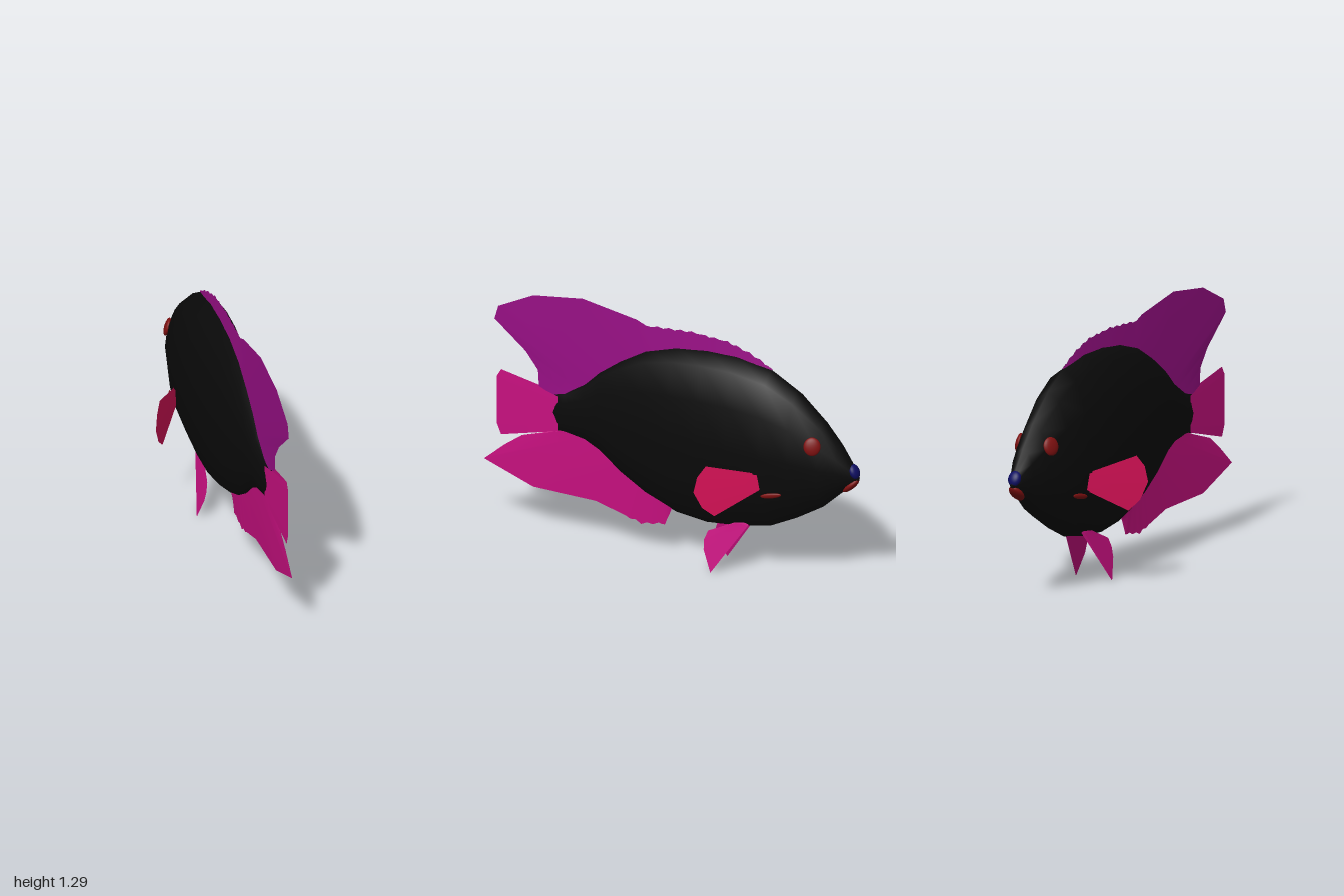
import * as THREE from 'three';

const mat = (name, color, side = THREE.FrontSide) => {
  const m = new THREE.MeshStandardMaterial({ color, side });
  m.name = name;
  return m;
};

// Body stations: z, top y, bottom y, half width
const STATIONS = [
  [-0.985, 0.62, 0.585, 0.012], [-0.95, 0.675, 0.55, 0.036], [-0.89, 0.765, 0.50, 0.065],
  [-0.80, 0.875, 0.415, 0.098], [-0.66, 1.01, 0.33, 0.133], [-0.52, 1.10, 0.262, 0.151],
  [-0.34, 1.14, 0.23, 0.149], [-0.18, 1.145, 0.22, 0.14], [-0.02, 1.13, 0.245, 0.123],
  [0.14, 1.085, 0.315, 0.10], [0.27, 1.01, 0.40, 0.078], [0.38, 0.93, 0.495, 0.058],
  [0.46, 0.85, 0.54, 0.044], [0.57, 0.78, 0.56, 0.025], [0.64, 0.765, 0.56, 0.014],
];

function bodyGeometry() {
  const sides = 12, pos = [], idx = [];
  for (const [z, top, bottom, w] of STATIONS) {
    for (let i = 0; i < sides; i++) {
      const a = (i / sides) * Math.PI * 2;
      pos.push(w * Math.sin(a), (top + bottom) / 2 + ((top - bottom) / 2) * Math.cos(a), z);
    }
  }
  const last = STATIONS.length - 1, nose = pos.length / 3, tail = nose + 1;
  pos.push(0, 0.602, -0.992, 0, 0.66, 0.665);
  for (let i = 0; i < sides; i++) {
    const j = (i + 1) % sides;
    for (let r = 0; r < last; r++) {
      const a = r * sides + i, b = r * sides + j;
      idx.push(a, a + sides, b, b, a + sides, b + sides);
    }
    idx.push(nose, i, j, tail, last * sides + j, last * sides + i);
  }
  const g = new THREE.BufferGeometry();
  g.setAttribute('position', new THREE.Float32BufferAttribute(pos, 3));
  g.setIndex(idx);
  g.computeVertexNormals();
  return g;
}

// Fin lofted from a base line to an edge line, both [z, y]; it thins toward the edge
function finGeometry({ base, edge, thick, xAt = () => 0, ripple = () => 0 }) {
  const steps = 8, rows = 5, n = (base.length - 1) * steps, pos = [], idx = [];
  const sample = (line, i) => {
    const k = Math.min(Math.floor(i / steps), line.length - 2), t = i / steps - k;
    return [0, 1].map((c) => line[k][c] + (line[k + 1][c] - line[k][c]) * t);
  };
  for (const side of [1, -1]) {
    const start = pos.length / 3;
    for (let i = 0; i <= n; i++) {
      const b = sample(base, i), e = sample(edge, i);
      e[1] += ripple(e[0], e[1]);
      for (let r = 0; r <= rows; r++) {
        const v = r / rows;
        const z = b[0] + (e[0] - b[0]) * v, y = b[1] + (e[1] - b[1]) * v;
        pos.push(xAt(z, y) + side * (thick * (1 - v) + 0.001), y, z);
      }
    }
    for (let i = 0; i < n; i++) {
      for (let r = 0; r < rows; r++) {
        const a = start + i * (rows + 1) + r, b = a + rows + 1;
        idx.push(a, b, a + 1, a + 1, b, b + 1);
      }
    }
  }
  // Keep the winding outward on each sheet, whichever way the outline runs
  const half = idx.length / 2;
  const g = new THREE.BufferGeometry();
  g.setAttribute('position', new THREE.Float32BufferAttribute(pos, 3));
  const [a, b, c] = [0, 1, 2].map((k) => {
    const q = idx[Math.floor(half / 12) * 6 + k] * 3;
    return new THREE.Vector3(pos[q], pos[q + 1], pos[q + 2]);
  });
  const flipFirst = b.sub(a).cross(c.sub(a)).x < 0;
  for (let i = 0; i < idx.length; i += 3) {
    if ((i < half) === flipFirst) [idx[i + 1], idx[i + 2]] = [idx[i + 2], idx[i + 1]];
  }
  g.setIndex(idx);
  g.computeVertexNormals();
  return g;
}

export function createModel() {
  const fish = new THREE.Group();
  fish.name = 'fish';
  const black = mat('bodyBlack', 0x0a0a0a);
  const purple = mat('dorsalPurple', 0x970f84, THREE.DoubleSide);
  const magenta = mat('finMagenta', 0xc81080, THREE.DoubleSide);
  const crimson = mat('pectoralCrimson', 0xdc1259, THREE.DoubleSide);
  const red = mat('darkRed', 0x7d1010);
  const blue = mat('lipBlue', 0x0e0e62);

  const add = (name, geometry, material) => {
    const m = new THREE.Mesh(geometry, material);
    m.name = name;
    fish.add(m);
    return m;
  };
  const ellipsoid = (name, material, p, s, r = [0, 0, 0]) => {
    const m = add(name, new THREE.SphereGeometry(1, 20, 14), material);
    m.position.set(...p);
    m.scale.set(...s);
    m.rotation.set(...r);
  };

  add('body', bodyGeometry(), black);

  // Dorsal fin with a scalloped front edge
  add('dorsalFin', finGeometry({
    base: [[-0.5, 1.07], [-0.4, 1.09], [-0.28, 1.1], [-0.1, 1.1], [0.1, 1.06], [0.16, 1.04],
      [0.25, 0.98], [0.33, 0.92], [0.4, 0.87], [0.43, 0.83], [0.47, 0.8], [0.53, 0.76], [0.58, 0.73]],
    edge: [[-0.53, 1.1], [-0.42, 1.16], [-0.29, 1.205], [-0.1, 1.222], [0.14, 1.212], [0.19, 1.235],
      [0.475, 1.295], [0.74, 1.265], [0.925, 1.175], [0.945, 1.105], [0.78, 0.96], [0.715, 0.87], [0.71, 0.785]],
    thick: 0.009,
    ripple: (z) => (z > -0.5 && z < 0.14 ? 0.005 * Math.sin(z * 105) : 0),
  }), purple);

  // Anal fin
  add('analFin', finGeometry({
    base: [[0.0, 0.28], [0.06, 0.31], [0.13, 0.35], [0.19, 0.39], [0.28, 0.45], [0.38, 0.53],
      [0.44, 0.57], [0.48, 0.58], [0.52, 0.59], [0.56, 0.59]],
    edge: [[0.01, 0.24], [0.04, 0.17], [0.165, 0.15], [0.245, 0.175], [0.405, 0.225], [0.74, 0.24],
      [1.0, 0.345], [0.89, 0.44], [0.8, 0.505], [0.63, 0.548]],
    thick: 0.01,
    ripple: (z, y) => (z > 0.03 && z < 0.24 && y < 0.2 ? 0.005 * Math.sin(z * 105) : 0),
  }), magenta);

  // Tail fin
  add('tailFin', finGeometry({
    base: [[0.6, 0.755], [0.6, 0.73], [0.6, 0.6], [0.6, 0.57]],
    edge: [[0.91, 0.838], [0.932, 0.8], [0.932, 0.545], [0.91, 0.49]],
    thick: 0.016,
  }), magenta);

  for (const [side, s] of [['left', 1], ['right', -1]]) {
    // Pectoral fins sweep out and back
    add(side + 'PectoralFin', finGeometry({
      base: [[-0.52, 0.585], [-0.52, 0.565], [-0.52, 0.545], [-0.52, 0.525], [-0.52, 0.51]],
      edge: [[-0.295, 0.655], [-0.26, 0.6], [-0.245, 0.52], [-0.28, 0.435], [-0.33, 0.385]],
      thick: 0.008,
      xAt: (z) => s * (0.145 + (z + 0.49) * 0.68),
    }), crimson);
    // Pelvic fins splay downward
    add(side + 'PelvicFin', finGeometry({
      base: [[-0.36, 0.27], [-0.38, 0.27], [-0.4, 0.27], [-0.42, 0.265]],
      edge: [[-0.215, 0.205], [-0.198, 0.16], [-0.2, 0.11], [-0.245, 0.003]],
      thick: 0.009,
      xAt: (z, y) => s * (0.05 + (0.26 - y) * 0.21),
    }), magenta);
    ellipsoid(side + 'Eye', red, [s * 0.092, 0.77, -0.778], [0.016, 0.046, 0.042], [0, s * 0.4, s * 0.25]);
    ellipsoid(side + 'GillMark', red, [s * 0.134, 0.488, -0.577], [0.008, 0.014, 0.054], [0.2, s * 0.12, -s * 0.2]);
  }

  // Lips
  ellipsoid('upperLip', blue, [0, 0.632, -0.962], [0.034, 0.024, 0.04], [2.03, 0, 0]);
  ellipsoid('lowerLip', red, [0, 0.556, -0.944], [0.036, 0.02, 0.056], [0.75, 0, 0]);
  return fish;
}
